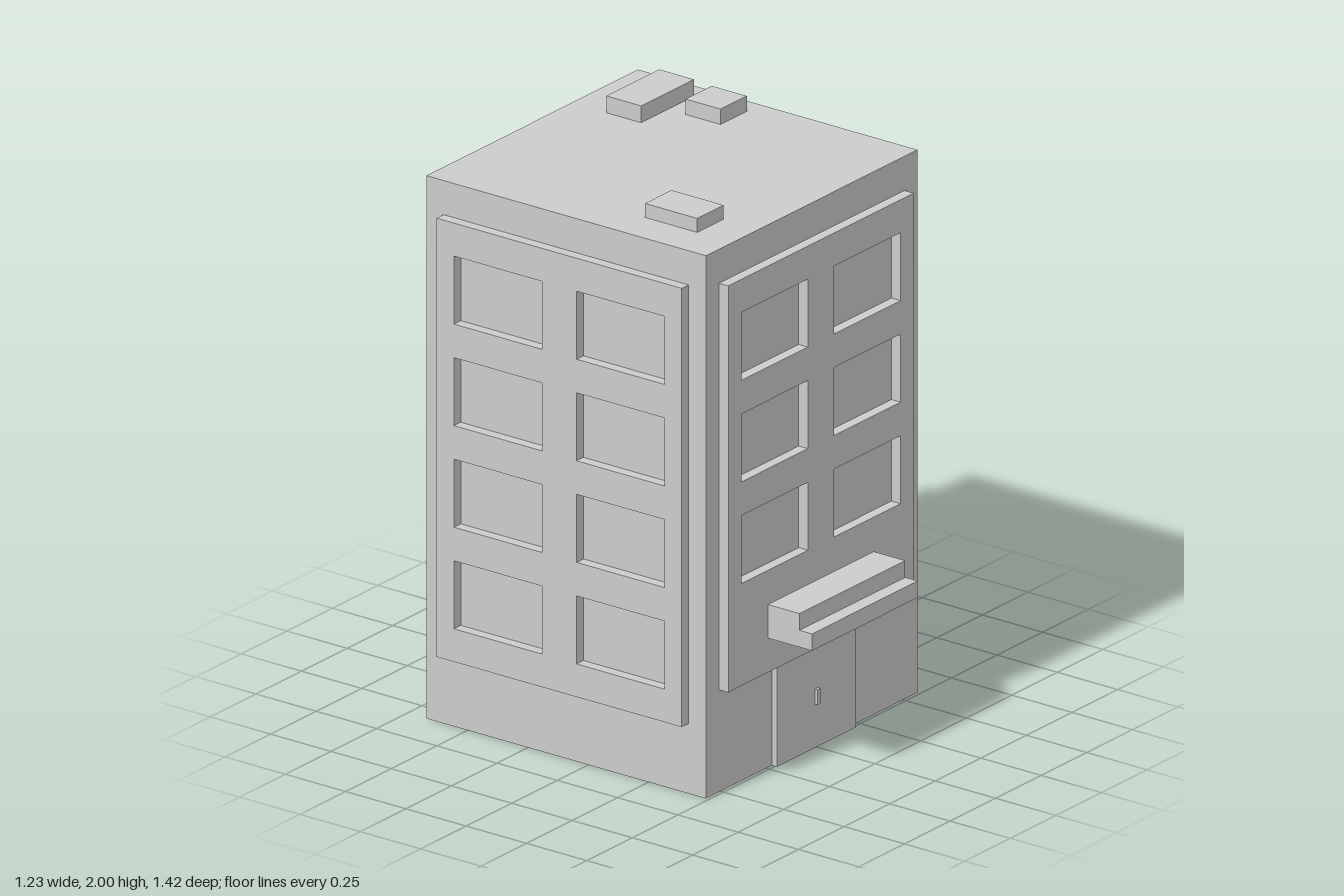
import * as THREE from 'three';

const material = new THREE.MeshStandardMaterial({ color: 0xcccccc, flatShading: true });

// Box given by its min and max corners
function box(name, [x0, y0, z0], [x1, y1, z1]) {
  const geo = new THREE.BoxGeometry(x1 - x0, y1 - y0, z1 - z0);
  geo.translate((x0 + x1) / 2, (y0 + y1) / 2, (z0 + z1) / 2);
  const mesh = new THREE.Mesh(geo, material);
  mesh.name = name;
  return mesh;
}

function trace(path, x0, y0, x1, y1) {
  path.moveTo(x0, y0);
  path.lineTo(x1, y0);
  path.lineTo(x1, y1);
  path.lineTo(x0, y1);
  path.closePath();
  return path;
}

// Raised wall panel with two columns of window openings
function windowPanel(name, bottom, rows, depth) {
  const shape = trace(new THREE.Shape(), -0.508, bottom, 0.508, 1.818);
  for (let r = 0; r < rows; r++) {
    const top = 1.7 - r * 0.363;
    for (const x of [-0.437, 0.072]) {
      shape.holes.push(trace(new THREE.Path(), x, top - 0.243, x + 0.365, top));
    }
  }
  const geo = new THREE.ExtrudeGeometry(shape, { depth, bevelEnabled: false });
  const mesh = new THREE.Mesh(geo, material);
  mesh.name = name;
  return mesh;
}

export function createModel() {
  const building = new THREE.Group();
  building.name = 'building';

  // Main block
  building.add(box('walls', [-0.58, 0, -0.672], [0.58, 1.94, 0.488]));

  // Window panels on the four walls
  const front = windowPanel('frontWindowPanel', 0.365, 3, 0.038);
  front.position.z = 0.488;
  const back = windowPanel('backWindowPanel', 0.25, 4, 0.036);
  back.rotation.y = Math.PI;
  back.position.z = -0.672;
  const left = windowPanel('leftWindowPanel', 0.25, 4, 0.034);
  left.rotation.y = Math.PI / 2;
  left.position.set(0.58, 0, -0.092);
  const right = windowPanel('rightWindowPanel', 0.25, 4, 0.038);
  right.rotation.y = -Math.PI / 2;
  right.position.set(-0.58, 0, -0.092);
  building.add(front, back, left, right);

  // Door with handle
  building.add(box('door', [-0.217, 0, 0.488], [0.217, 0.365, 0.508]));
  building.add(box('doorHandle', [-0.008, 0.155, 0.508], [0.008, 0.21, 0.518]));

  // Stepped canopy over the door
  const canopy = new THREE.Shape();
  [[0.526, 0.488], [0.708, 0.488], [0.708, 0.548], [0.656, 0.548], [0.656, 0.608], [0.526, 0.608]]
    .forEach(([z, y], i) => (i ? canopy.lineTo(z, y) : canopy.moveTo(z, y)));
  const canopyMesh = new THREE.Mesh(
    new THREE.ExtrudeGeometry(canopy, { depth: 0.58, bevelEnabled: false }), material);
  canopyMesh.name = 'canopy';
  canopyMesh.rotation.y = -Math.PI / 2;
  canopyMesh.position.x = 0.29;
  building.add(canopyMesh);

  // Rooftop units
  building.add(box('roofUnitFront', [-0.435, 1.94, 0.125], [-0.29, 1.99, 0.342]));
  building.add(box('roofUnitBack', [0.217, 1.94, -0.528], [0.507, 2, -0.384]));
  building.add(box('roofUnitSide', [0.363, 1.94, -0.31], [0.507, 1.995, -0.165]));

  return building;
}
